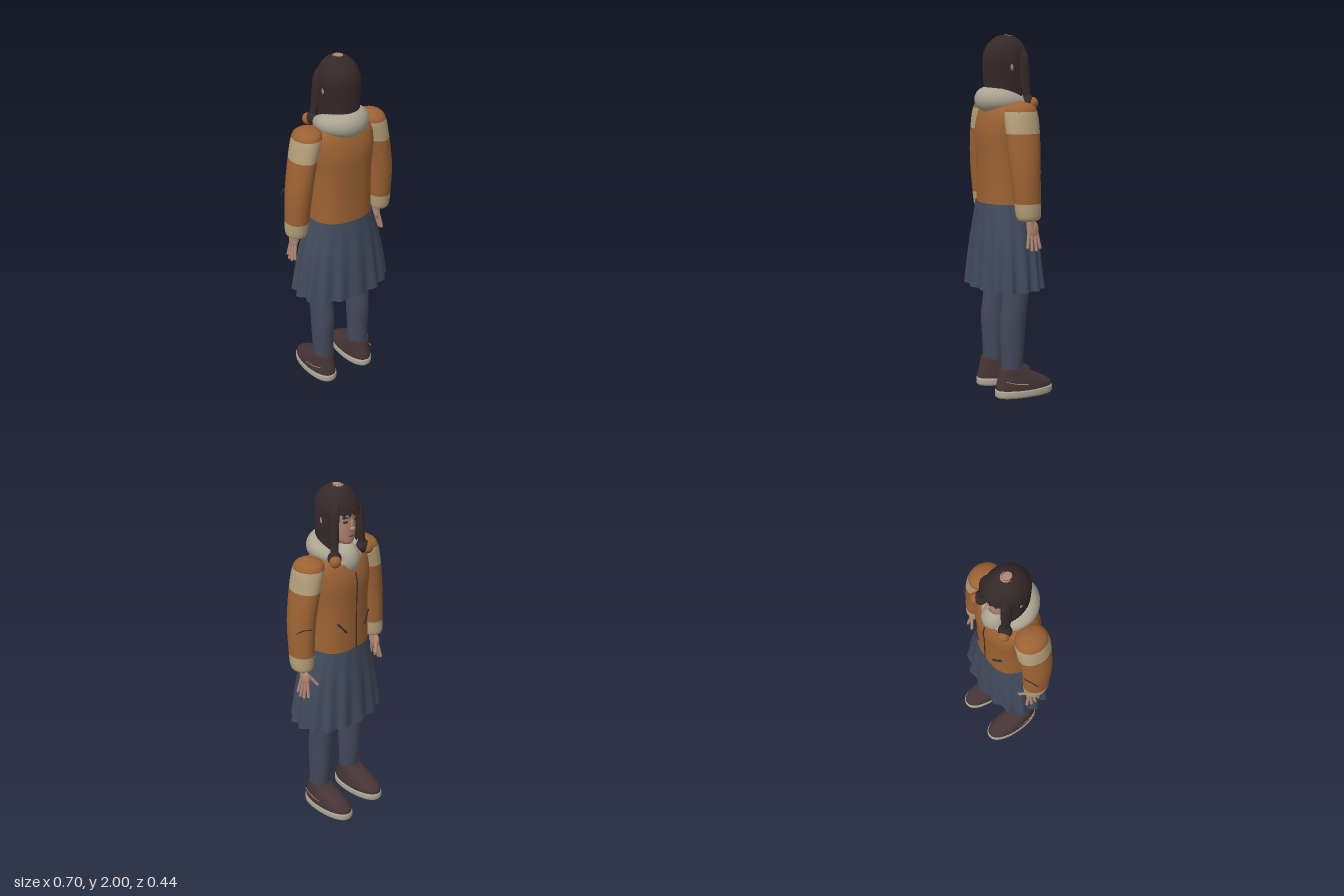
import * as THREE from 'three';

const mat = (name, color, double) => {
  const m = new THREE.MeshStandardMaterial({ color });
  m.name = name;
  if (double) m.side = THREE.DoubleSide;
  return m;
};

// Surface closed around u; fn(angle, v) returns [x, y, z], with v running upwards
function grid(nu, nv, fn, caps = false) {
  const pos = [], idx = [];
  for (let i = 0; i <= nv; i++)
    for (let j = 0; j < nu; j++) pos.push(...fn(j / nu * Math.PI * 2, i / nv));
  for (let i = 0; i < nv; i++)
    for (let j = 0; j < nu; j++) {
      const k = (j + 1) % nu, a = i * nu, b = a + nu;
      idx.push(a + j, b + j, a + k, b + j, b + k, a + k);
    }
  if (caps) for (const row of [0, nv]) {
    const base = pos.length / 3, c = [0, 0, 0];
    for (let j = 0; j < nu; j++) {
      const p = pos.slice((row * nu + j) * 3, (row * nu + j) * 3 + 3);
      pos.push(...p);
      p.forEach((q, n) => { c[n] += q / nu; });
    }
    pos.push(...c);
    for (let j = 0; j < nu; j++) {
      const k = (j + 1) % nu;
      idx.push(base + nu, base + (row ? k : j), base + (row ? j : k));
    }
  }
  const g = new THREE.BufferGeometry();
  g.setAttribute('position', new THREE.Float32BufferAttribute(pos, 3));
  g.setIndex(idx);
  g.computeVertexNormals();
  return g;
}

// Smooth stack of rounded sections, each [y, x, z, rx, rz], from bottom to top
const STEPS = 6;
function loft(rows, { p = 2, nu = 40, caps = true, ripple = () => 1 } = {}) {
  const n = rows.length - 1;
  const at = v => {
    const i = Math.min(Math.floor(v * n + 1e-6), n - 1), t = v * n - i;
    const r = k => rows[Math.max(0, Math.min(n, k))];
    return rows[0].map((_, c) => {
      const [a, b, d, e] = [r(i - 1)[c], r(i)[c], r(i + 1)[c], r(i + 2)[c]];
      return b + 0.5 * t * (d - a + t * (2 * a - 5 * b + 4 * d - e + t * (3 * (b - d) + e - a)));
    });
  };
  const pw = c => Math.sign(c) * Math.abs(c) ** (2 / p);
  return grid(nu, n * STEPS, (a, v) => {
    const [y, x, z, rx, rz] = at(v), k = ripple(a, v);
    return [x + rx * k * pw(Math.cos(a)), y, z + rz * k * pw(Math.sin(a))];
  }, caps);
}

export function createModel() {
  const M = {
    jacket: mat('jacketBrown', 0x9c6233),
    trim: mat('sleeveTan', 0xb39f7a),
    cream: mat('fleeceCream', 0xaba492),
    skirt: mat('skirtBlue', 0x414a5c, true),
    tights: mat('tightsBlue', 0x43495b),
    hair: mat('hairDark', 0x352829, true),
    shoe: mat('shoeBrown', 0x463435),
    skin: mat('skin', 0xb08672),
    lips: mat('lips', 0x8c5a50),
    dark: mat('stitchDark', 0x3a3230),
  };
  const model = new THREE.Group();
  const add = (name, geo, material, parent = model) => {
    const m = new THREE.Mesh(geo, material);
    m.name = name;
    parent.add(m);
    return m;
  };
  const ball = (name, material, [x, y, z], [sx, sy, sz]) => {
    const m = add(name, new THREE.SphereGeometry(1, 24, 16), material);
    m.position.set(x, y, z);
    m.scale.set(sx, sy, sz);
    return m;
  };
  const V = (x, y, z) => new THREE.Vector3(x, y, z);
  const cord = (name, material, pts, r) =>
    add(name, new THREE.TubeGeometry(new THREE.CatmullRomCurve3(pts.map(q => V(...q))), 24, r, 6), material);

  // Jacket body, neckline and zip
  add('jacketBody', loft([
    [1.085, 0, .008, .18, .146], [1.2, 0, .008, .176, .145], [1.35, 0, .01, .174, .147],
    [1.48, 0, .01, .186, .15], [1.57, 0, .012, .185, .128], [1.62, 0, .015, .15, .1],
    [1.66, 0, .02, .08, .07]], { p: 2.4, nu: 56 }), M.jacket);
  ball('neckLining', M.cream, [0, 1.605, -.06], [.07, .09, .08]);
  cord('zip', M.dark, [[0, 1.09, -.139], [0, 1.2, -.138], [0, 1.35, -.138], [0, 1.48, -.141], [0, 1.54, -.131]], .004);

  // Skirt with pleats deepening towards the hem
  add('skirt', loft([
    [.62, 0, .015, .282, .195], [.74, 0, .015, .265, .185], [.86, 0, .014, .245, .175],
    [.98, 0, .013, .215, .162], [1.09, 0, .012, .185, .15]],
    { p: 2.2, nu: 128, caps: false, ripple: (a, v) => 1 + .05 * (1 - v) * Math.cos(16 * a) }), M.skirt);

  // Hood lying round the neck, thick at the back and thin at the front
  const hoodPath = new THREE.CatmullRomCurve3([
    V(-.055, 1.595, -.1), V(-.1, 1.635, -.03), V(-.085, 1.65, .06), V(0, 1.65, .11),
    V(.085, 1.65, .06), V(.1, 1.635, -.03), V(.055, 1.595, -.1)]);
  const hood = new THREE.TubeGeometry(hoodPath, 48, 1, 20), hp = hood.attributes.position;
  for (let i = 0; i < hp.count; i++) {
    const u = Math.floor(i / 21) / 48, c = hoodPath.getPointAt(u);
    const q = V(0, 0, 0).fromBufferAttribute(hp, i).sub(c).multiplyScalar(.012 + .058 * Math.sin(Math.PI * u) ** 1.2).add(c);
    hp.setXYZ(i, q.x, q.y, q.z);
  }
  hood.computeVertexNormals();
  add('hood', hood, M.cream);

  // Head and face
  add('neck', new THREE.CylinderGeometry(.048, .055, .16, 24), M.skin).position.set(0, 1.68, 0);
  add('head', loft([
    [1.688, 0, -.06, .02, .025], [1.7, 0, -.053, .04, .045], [1.73, 0, -.035, .062, .066],
    [1.78, 0, -.012, .078, .09], [1.84, 0, 0, .086, .1], [1.9, 0, .002, .088, .104],
    [1.96, 0, .004, .06, .07]]), M.skin);
  ball('noseBridge', M.skin, [0, 1.805, -.1], [.009, .03, .011]);
  ball('noseTip', M.skin, [0, 1.783, -.105], [.016, .011, .014]);
  ball('mouth', M.lips, [0, 1.743, -.098], [.023, .009, .008]);
  ball('crownSpot', M.skin, [0, 1.994, .003], [.03, .004, .034]);

  // Ridged hair cap, cut short over the face
  const hemAt = f => 1.67 + .195 * (1 - THREE.MathUtils.smoothstep(f, .85, 1.05));
  add('hairCap', grid(264, 30, (a, v) => {
    const front = Math.abs(Math.atan2(Math.cos(a), -Math.sin(a)));
    const hem = hemAt(front) + (front < .9 ? .008 * Math.cos(a * 22) : 0);
    const t = 1 - v, y = 1.997 - (1.997 - hem) * t ** 1.7;
    const dome = y > 1.86 ? Math.sqrt(1 - ((y - 1.86) / .14) ** 2) : 1 - .4 * (1.86 - y) ** 1.2;
    const r = dome * (.985 + .035 * Math.abs(Math.sin(22 * (a + .5 * t))));
    return [.108 * r * Math.cos(a), y, .005 + .125 * r * Math.sin(a)];
  }), M.hair);

  for (const s of [1, -1]) {
    const side = s > 0 ? 'left' : 'right';

    // Eyes, brows and ears
    ball(side + 'Eye', M.hair, [s * .036, 1.822, -.089], [.015, .007, .006]).rotation.y = s * -.4;
    ball(side + 'Brow', M.hair, [s * .038, 1.846, -.091], [.02, .004, .006]).rotation.y = s * -.4;
    ball(side + 'Ear', M.skin, [s * .103, 1.825, .015], [.008, .02, .012]);

    // Side lock tied with a bauble
    add(side + 'Lock', loft([
      [1.64, s * .108, -.082, .016, .018], [1.71, s * .1, -.07, .02, .026],
      [1.8, s * .094, -.062, .02, .032], [1.88, s * .088, -.06, .018, .03],
      [1.93, s * .07, -.055, .008, .012]], { nu: 16 }), M.hair);
    ball(side + 'HairTuft', M.hair, [s * .108, 1.64, -.08], [.037, .037, .037]);
    ball(side + 'Bauble', M.jacket, [s * .124, 1.632, -.1], [.031, .033, .031]);

    // Sleeve in four colour bands
    const sleeve = loft([
      [1.015, s * .278, 0, .038, .045], [1.032, s * .28, 0, .056, .066], [1.11, s * .277, .005, .064, .074],
      [1.3, s * .265, .014, .07, .085], [1.48, s * .236, .013, .07, .095], [1.595, s * .208, .012, .077, .09],
      [1.632, s * .202, .012, .055, .06], [1.646, s * .205, .012, .012, .014]]);
    const seg = 40 * 6 * STEPS, bands = [[0, 2], [2, 4], [4, 5], [5, 7]];
    bands.forEach(([b, e], i) => sleeve.addGroup(b * seg, (e - b) * seg, i));
    sleeve.addGroup(7 * seg, 120, 0);
    sleeve.addGroup(7 * seg + 120, 120, 3);
    add(side + 'Sleeve', sleeve, [M.trim, M.jacket, M.trim, M.jacket]);
    cord(side + 'SleeveCord', M.dark, [[s * .275, 1.28, -.074], [s * .31, 1.285, -.058], [s * .335, 1.28, -.045], [s * .35, 1.27, -.035]], .003);

    // Slanted pocket
    const pocket = add(side + 'Pocket', new THREE.BoxGeometry(.012, .085, .008), M.dark);
    pocket.position.set(s * .095, 1.235, -.124);
    pocket.rotation.set(0, s * -.35, s * -.7, 'YXZ');

    // Hand: palm, four fingers and thumb
    ball(side + 'Palm', M.skin, [s * .283, .965, -.024], [.018, .05, .034]);
    add(side + 'Wrist', new THREE.CylinderGeometry(.023, .021, .08, 16), M.skin).position.set(s * .28, 1.01, -.012);
    const digits = [[.288, .945, .002, .3, .872, .014], [.289, .94, -.015, .305, .857, -.01],
      [.289, .94, -.033, .304, .856, -.036], [.287, .945, -.048, .296, .867, -.062],
      [.275, .985, -.045, .238, .925, -.073]];
    digits.forEach(([x, y, z, X, Y, Z], i) => {
      const a = V(s * x, y, z), b = V(s * X, Y, Z), d = b.clone().sub(a);
      const f = add(side + (i < 4 ? 'Finger' : 'Thumb'), new THREE.CapsuleGeometry(.0085, d.length(), 4, 10), M.skin);
      f.position.copy(a).add(b).multiplyScalar(.5);
      f.quaternion.setFromUnitVectors(V(0, 1, 0), d.normalize());
    });

    // Leg
    add(side + 'Leg', loft([
      [.13, s * .125, .027, .058, .057], [.28, s * .126, .022, .062, .067], [.42, s * .125, .02, .065, .075],
      [.62, s * .124, 0, .067, .074], [.95, s * .1, 0, .075, .08]]), M.tights);

    // Shoe
    const x = s * .129;
    add(side + 'Sole', loft([
      [0, x, -.048, .073, .167], [.01, x, -.048, .079, .173], [.035, x, -.048, .079, .173],
      [.043, x, -.048, .074, .168]], { p: 2.25 }), M.cream);
    add(side + 'Shoe', loft([
      [.035, x, -.048, .075, .168], [.065, x, -.046, .075, .164], [.095, x, -.028, .072, .138],
      [.125, x, -.003, .067, .105], [.15, x, .018, .063, .078], [.165, x, .026, .06, .064]], { p: 2.15 }), M.shoe);
    cord(side + 'ShoeStitch', M.trim, [[s * .186, .1, .085], [s * .199, .085, .03], [s * .203, .075, -.04]], .002);
  }
  return model;
}
